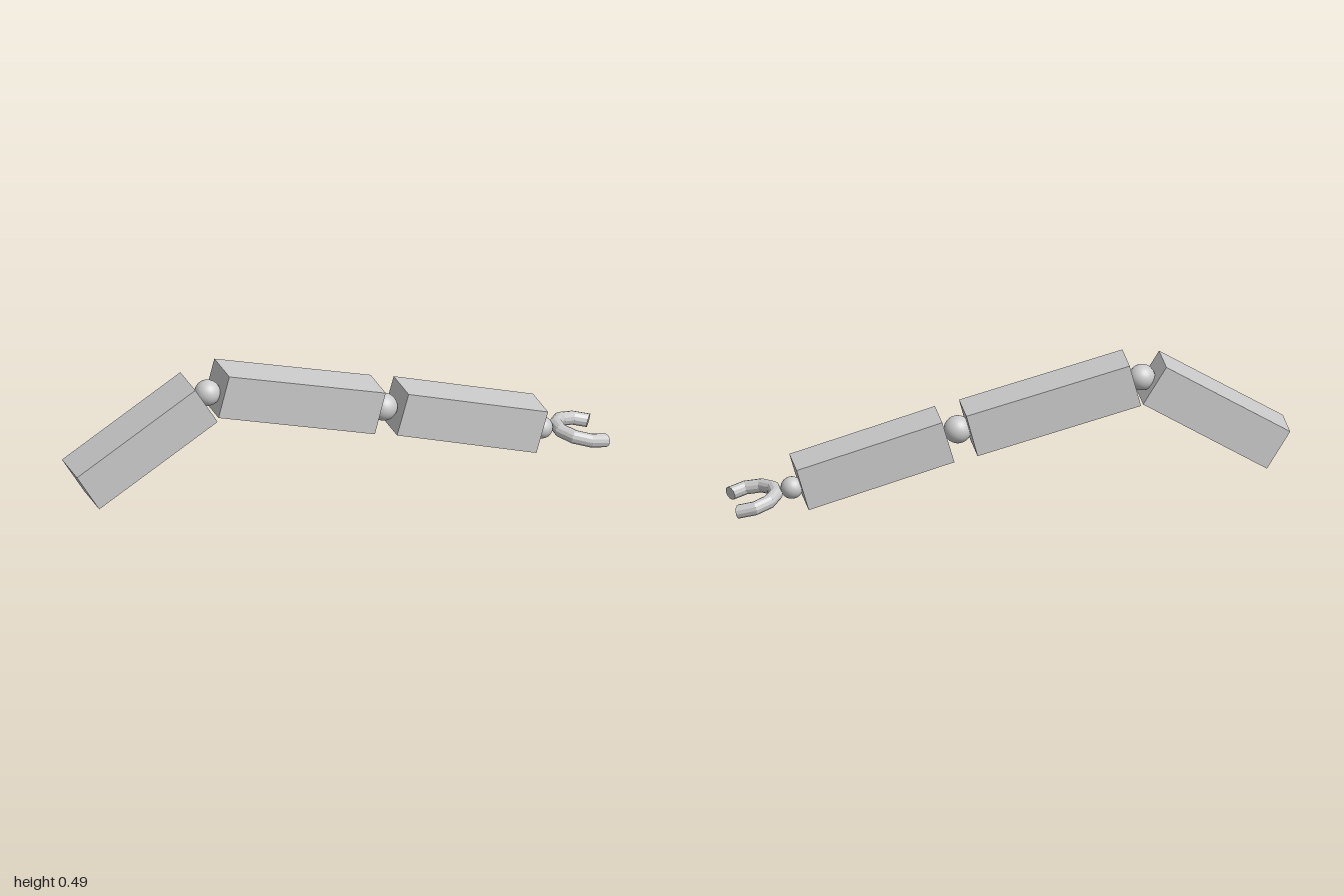
import * as THREE from 'three';

const grey = new THREE.MeshStandardMaterial({ color: 0xcccccc });
const facetedGrey = new THREE.MeshStandardMaterial({ color: 0xcccccc, flatShading: true });

export function createModel() {
  const model = new THREE.Group();
  model.name = 'jointedArm';

  const add = (parent, name, geometry, material, [x, y, z], angle = 0) => {
    const mesh = new THREE.Mesh(geometry, material);
    mesh.name = name;
    mesh.position.set(x, y, z);
    mesh.rotation.z = THREE.MathUtils.degToRad(angle);
    parent.add(mesh);
    return mesh;
  };

  // Square-section arm segments: name, length, centre, tilt in degrees
  const segments = [
    ['shoulderSegment', 0.523, [-0.736, 0.261, 0.022], 31.6],
    ['upperArm', 0.608, [-0.146, 0.334, 0], -14.7],
    ['forearm', 0.545, [0.495, 0.164, 0], -15.9],
  ];
  for (const [name, length, centre, tilt] of segments)
    add(model, name, new THREE.BoxGeometry(length, 0.16, 0.162), grey, centre, tilt);

  // Ball joints between the segments
  const joints = [
    ['shoulderJoint', 0.047, [-0.479, 0.406, 0.013]],
    ['elbowJoint', 0.05, [0.184, 0.249, 0.013]],
    ['wristJoint', 0.04, [0.783, 0.07, 0]],
  ];
  for (const [name, radius, centre] of joints)
    add(model, name, new THREE.SphereGeometry(radius, 24, 16), grey, centre);

  // Open ring gripper, lying flat and dipping forward with the forearm
  const gripper = new THREE.Group();
  gripper.name = 'gripper';
  gripper.position.set(0.94, 0.038, 0);
  gripper.rotation.z = THREE.MathUtils.degToRad(-13.5);
  model.add(gripper);

  const ring = new THREE.Group();
  ring.rotation.x = Math.PI / 2;
  gripper.add(ring);

  const R = 0.102, r = 0.025, gap = Math.PI / 3;
  const arc = new THREE.TorusGeometry(R, r, 12, 7, 2 * Math.PI - 2 * gap).rotateZ(gap);
  add(ring, 'gripperRing', arc, facetedGrey, [0, 0, 0]);

  // Flat caps on the two claw tips
  for (const side of [1, -1]) {
    const cap = add(ring, 'clawTip', new THREE.CircleGeometry(r, 12), facetedGrey,
      [R * Math.cos(gap), side * R * Math.sin(gap), 0]);
    cap.quaternion.setFromUnitVectors(new THREE.Vector3(0, 0, 1),
      new THREE.Vector3(Math.sin(gap), -side * Math.cos(gap), 0));
  }

  return model;
}
